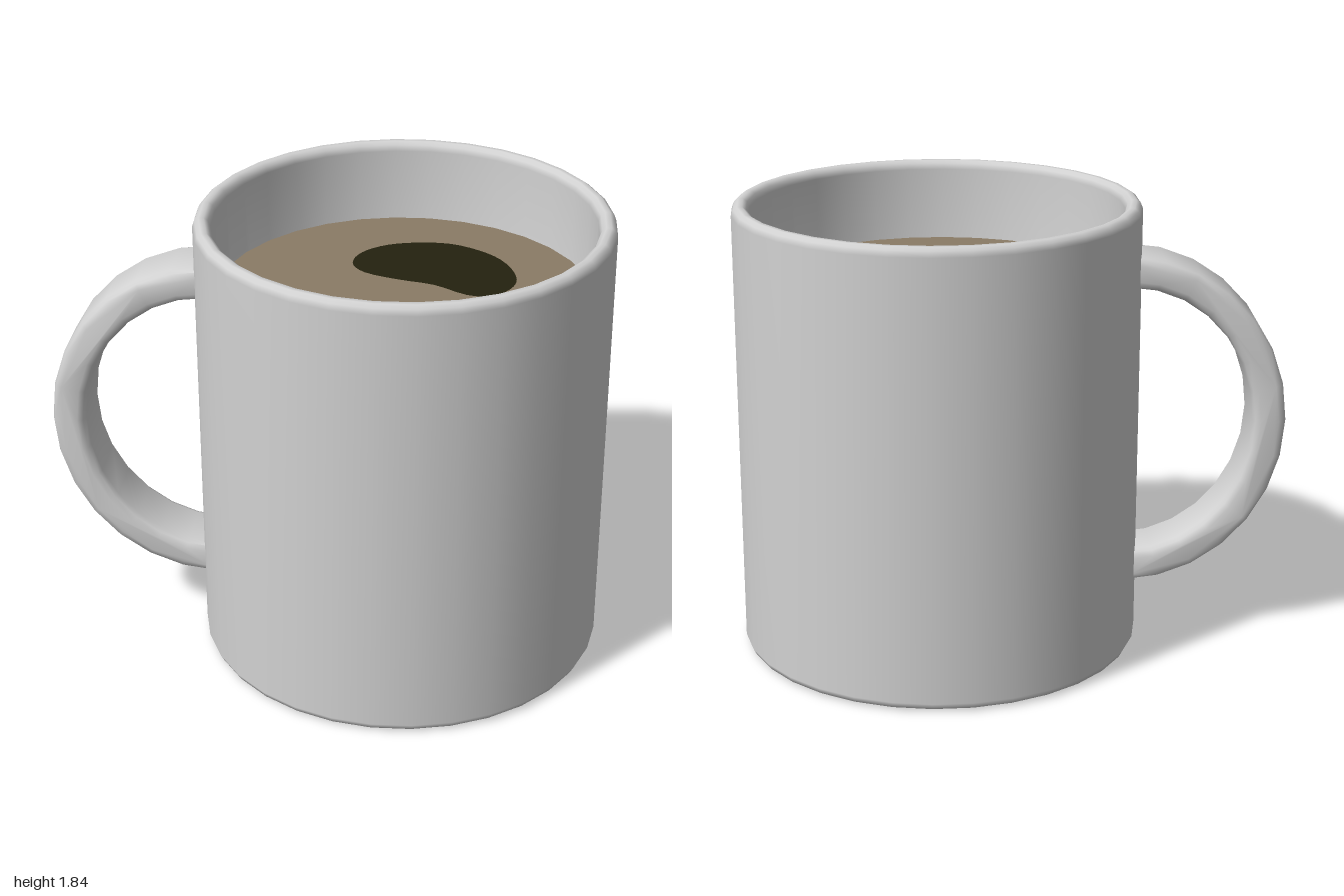
import * as THREE from 'three';
import { toCreasedNormals } from 'three/addons/utils/BufferGeometryUtils.js';

const material = (name, color, side = THREE.FrontSide) => {
  const m = new THREE.MeshStandardMaterial({ color, side });
  m.name = name;
  return m;
};

export function createModel() {
  const ceramic = material('ceramic', 0xd2d2d2);
  const coffee = material('coffee', 0x8a7b66, THREE.DoubleSide);
  const dark = material('dark coffee', 0x24220f, THREE.DoubleSide);

  const group = new THREE.Group();
  const mug = new THREE.Group();
  mug.name = 'mug';
  mug.position.set(0.057, 0, 0.18);
  group.add(mug);
  const add = (name, geometry, mat) => {
    const mesh = new THREE.Mesh(geometry, mat);
    mesh.name = name;
    mug.add(mesh);
    return mesh;
  };

  // Body: closed base, outer wall, rounded rim, inner wall and floor
  const profile = [
    [0, 0], [0.778, 0], [0.8, 0.01], [0.813, 0.035],
    [0.813, 1.805], [0.804, 1.828], [0.788, 1.84], [0.768, 1.84],
    [0.752, 1.828], [0.743, 1.805], [0.743, 0.1], [0, 0.1],
  ].map(([x, y]) => new THREE.Vector2(x, y));
  add('body', new THREE.LatheGeometry(profile, 32), ceramic);

  // Handle: bevelled half ring, pointing back and to the right
  const ring = new THREE.Shape();
  ring.absellipse(0.755, 0.94, 0.65, 0.69, -Math.PI / 2, Math.PI / 2, false, 0);
  ring.absellipse(0.755, 0.94, 0.515, 0.56, Math.PI / 2, -Math.PI / 2, true, 0);
  const bevel = 0.032, width = 0.27;
  const handle = new THREE.ExtrudeGeometry(ring, {
    depth: width - 2 * bevel, curveSegments: 7,
    bevelThickness: bevel, bevelSize: bevel, bevelOffset: -bevel, bevelSegments: 2,
  });
  handle.translate(0, 0, -width / 2 + bevel);
  add('handle', toCreasedNormals(handle, 0.9), ceramic).rotation.y = Math.atan2(0.8, -0.6);

  // Drink surface
  const level = 1.507;
  add('drink', new THREE.CircleGeometry(0.746, 32).rotateX(-Math.PI / 2), coffee).position.y = level;

  // Dark bean-shaped patch floating on the drink, outlined as x, z
  const outline = [
    [0.09, -0.06], [0.11, -0.14], [0.17, -0.185], [0.25, -0.197], [0.35, -0.17],
    [0.45, -0.095], [0.53, 0.01], [0.56, 0.14], [0.55, 0.26], [0.49, 0.38],
    [0.42, 0.445], [0.33, 0.465], [0.25, 0.44], [0.207, 0.37], [0.19, 0.22], [0.13, 0.08],
  ].map(([x, z]) => new THREE.Vector3(x, -z, 0));
  const curve = new THREE.CatmullRomCurve3(outline, true);
  const patch = new THREE.ShapeGeometry(
    new THREE.Shape(curve.getPoints(48).slice(0, -1).map((p) => new THREE.Vector2(p.x, p.y))));
  patch.rotateX(-Math.PI / 2);
  add('darkPatch', patch, dark).position.set(-0.057, level + 0.005, -0.18);

  return group;
}
